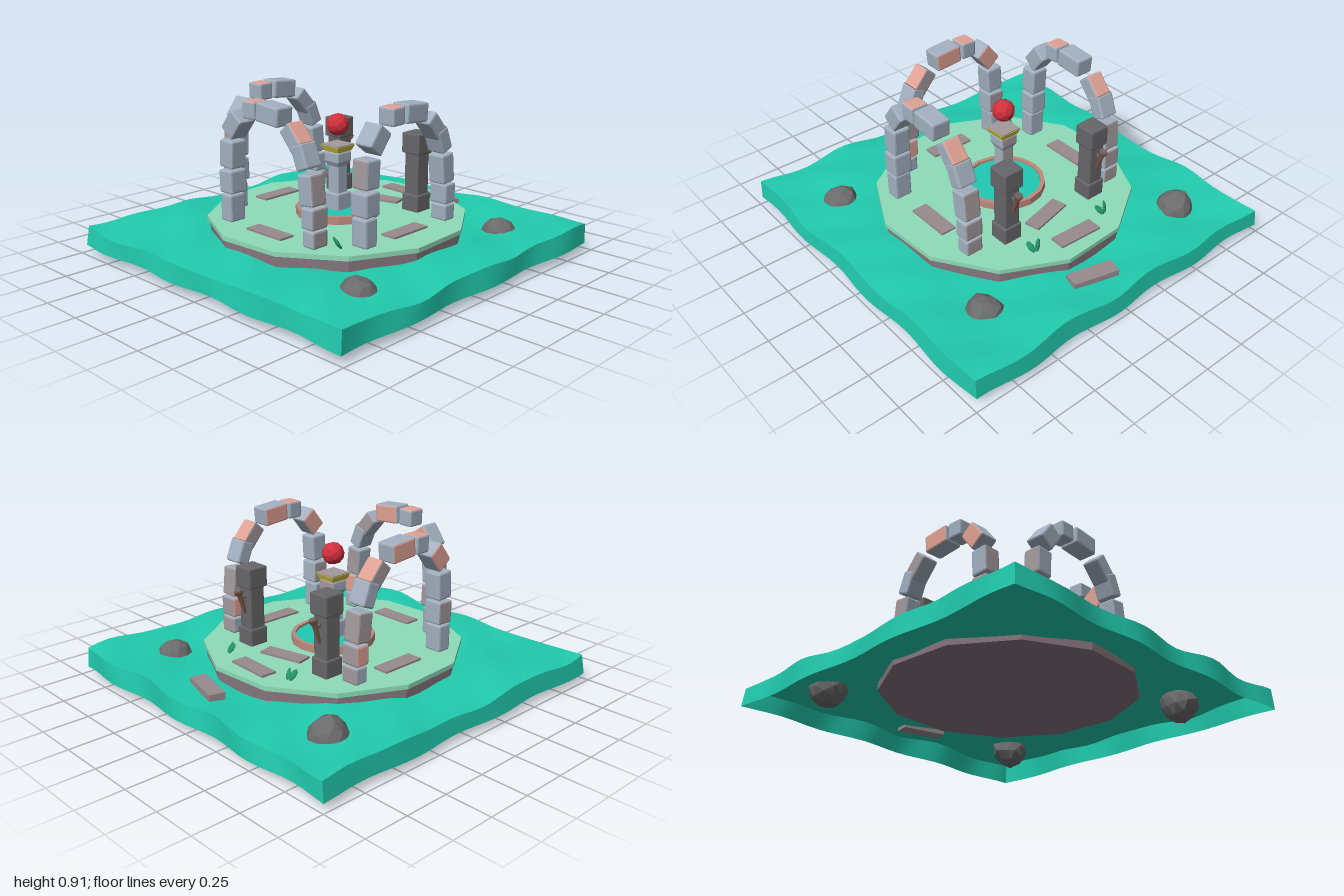
import * as THREE from 'three';
import { toCreasedNormals } from 'three/addons/utils/BufferGeometryUtils.js';
import { RoundedBoxGeometry } from 'three/addons/geometries/RoundedBoxGeometry.js';

const mat = (color, extra = {}) => new THREE.MeshStandardMaterial({ color, flatShading: true, ...extra });
const M = {
  ground: mat(0x21cbae, { flatShading: false, side: THREE.DoubleSide }),
  moss: mat(0x8fdcba), plinth: mat(0x85757c), tile: mat(0x988a8e),
  ring: mat(0xbd8b7c), water: mat(0x22c9b3), block: mat(0xa3b0c0),
  warm: mat(0xa39a9c), salmon: mat(0xe0a294), brown: mat(0x8a6355),
  dark: mat(0x67676a), rock: mat(0x6b6b6b), wood: mat(0x7d5847),
  gold: mat(0xd2c440), red: mat(0xd22f3c), leaf: mat(0x24936a),
};

function add(parent, name, geometry, material, x = 0, y = 0, z = 0) {
  const mesh = new THREE.Mesh(geometry, material);
  mesh.name = name;
  mesh.position.set(x, y, z);
  parent.add(mesh);
  return mesh;
}

// Chamfered stone block
const stone = (w, h, d, r = 0.008) => new RoundedBoxGeometry(w, h, d, 1, r);

// Rolling square of ground whose outer ring of vertices folds down into a skirt
function groundGeometry() {
  const n = 30;
  const g = new THREE.PlaneGeometry(2, 2, n, n).rotateX(-Math.PI / 2);
  const p = g.attributes.position;
  const inner = n / 2 - 1;
  for (let i = 0; i < p.count; i++) {
    const ix = (i % (n + 1)) - n / 2, iz = Math.floor(i / (n + 1)) - n / 2;
    const skirt = Math.max(Math.abs(ix), Math.abs(iz)) > inner;
    let x = THREE.MathUtils.clamp(ix / inner, -1, 1) * 0.975;
    let z = THREE.MathUtils.clamp(iz / inner, -1, 1) * 0.975;
    const y = 0.155 + 0.009 * Math.sin(7 * x + 2 * z) + 0.008 * Math.sin(9 * z - 3 * x + 1)
      + 0.004 * Math.sin(17 * x + 13 * z);
    const edgeX = Math.abs(ix) >= inner, edgeZ = Math.abs(iz) >= inner;
    if (edgeX) x += 0.014 * Math.sin(11 * z + (skirt ? 0.6 : 0)) + (skirt ? 0.008 * Math.sign(x) : 0);
    if (edgeZ) z += 0.012 * Math.sin(10 * x + (skirt ? 0.6 : 0)) + (skirt ? 0.008 * Math.sign(z) : 0);
    p.setXYZ(i, x, skirt ? 0.05 : y, z);
  }
  return toCreasedNormals(g, 0.7);
}

// Faceted lump: an icosphere pushed in and out by a smooth rule
function rockGeometry(r, seed) {
  const g = new THREE.IcosahedronGeometry(r, 1);
  const p = g.attributes.position, v = new THREE.Vector3();
  for (let i = 0; i < p.count; i++) {
    v.fromBufferAttribute(p, i);
    v.multiplyScalar(1 + 0.09 * Math.sin(31 * v.x + seed) * Math.cos(27 * v.z + 19 * v.y + seed));
    p.setXYZ(i, v.x, v.y, v.z);
  }
  g.computeVertexNormals();
  return g;
}

// Arch blocks: x, y, width, height, tilt, { face index: tint }
const ARCH = [
  [-0.31, 0.31, 0.085, 0.15, 0, {}],
  [-0.305, 0.455, 0.1, 0.125, 0.03, { 5: 'warm' }],
  [-0.3, 0.605, 0.1, 0.15, -0.05, { 1: 'warm' }],
  [-0.25, 0.77, 0.1, 0.13, -0.66, { 5: 'salmon' }],
  [-0.115, 0.865, 0.09, 0.095, 0.02, { 2: 'salmon' }],
  [0.025, 0.862, 0.16, 0.1, -0.08, { 5: 'salmon' }],
  [0.19, 0.768, 0.085, 0.14, 0.72, { 0: 'salmon', 5: 'warm' }],
  [0.252, 0.685, 0.08, 0.13, 0.38, { 2: 'brown' }],
  [0.29, 0.525, 0.095, 0.16, 0.1, { 0: 'warm', 5: 'warm' }],
  [0.307, 0.385, 0.085, 0.11, 0, { 0: 'warm', 5: 'salmon' }],
  [0.312, 0.28, 0.08, 0.09, 0, { 0: 'warm' }],
];

function arch(x, z, turn) {
  const g = new THREE.Group();
  g.name = 'stoneArch';
  ARCH.forEach(([bx, by, w, h, tilt, tints], i) => {
    const faces = Array.from({ length: 6 }, (_, f) => M[tints[f] || 'block']);
    const b = add(g, 'archBlock', stone(w, h, 0.1 + 0.008 * (i % 2), 0.01), faces, bx, by, 0);
    b.rotation.z = tilt;
  });
  // Threshold slab beneath the arch
  add(g, 'thresholdSlab', new THREE.BoxGeometry(0.26, 0.02, 0.09), M.tile, 0, 0.236, 0.02 * (turn ? 1 : 0));
  g.position.set(x, 0, z);
  g.rotation.y = turn;
  return g;
}

// Dark post with a slanted torch on its outer face
function torchPost(z) {
  const g = new THREE.Group();
  g.name = 'torchPost';
  add(g, 'postBase', stone(0.112, 0.1, 0.112), M.dark, 0, 0.28, 0);
  add(g, 'postShaft', stone(0.094, 0.27, 0.094), M.dark, 0, 0.445, 0);
  add(g, 'postCap', stone(0.12, 0.115, 0.12), M.dark, 0, 0.615, 0);
  const torch = new THREE.Group();
  torch.name = 'torch';
  add(torch, 'torchHandle', new THREE.CylinderGeometry(0.016, 0.008, 0.14, 6), M.wood);
  add(torch, 'torchCup', new THREE.CylinderGeometry(0.025, 0.018, 0.025, 6), M.wood, 0, 0.06, 0);
  add(torch, 'torchCoal', new THREE.CylinderGeometry(0.018, 0.018, 0.006, 6), M.dark, 0, 0.074, 0);
  add(torch, 'torchBracket', new THREE.BoxGeometry(0.045, 0.014, 0.014), M.dark, -0.02, 0.02, 0);
  torch.position.set(0.07, 0.48, 0);
  torch.rotation.z = -0.32;
  g.add(torch);
  g.position.set(0.345, 0, z);
  return g;
}

function plant(x, z, turn) {
  const g = new THREE.Group();
  g.name = 'plant';
  for (const s of [-1, 1]) {
    const geo = new THREE.OctahedronGeometry(1, 1).scale(0.008, 0.036, 0.017).translate(0, 0.032, 0);
    const l = add(g, 'leaf', geo, M.leaf, 0, 0, s * 0.006);
    l.rotation.set(s * 0.45, 0, 0.6 + 0.15 * s);
  }
  g.position.set(x, 0.236, z);
  g.rotation.y = turn;
  return g;
}

export function createModel() {
  const model = new THREE.Group();
  model.name = 'stoneShrine';

  add(model, 'ground', groundGeometry(), M.ground);

  // Twelve-sided platform
  const disc = (r, h) => new THREE.CylinderGeometry(r, r, h, 12, 1, false, 0.32);
  add(model, 'platformBase', disc(0.695, 0.085), M.plinth, 0, 0.17, 0);
  add(model, 'platformTop', disc(0.71, 0.025), M.moss, 0, 0.2225, 0);

  // Pool with a raised rim
  const rim = [[0.207, 0.23], [0.23, 0.23], [0.23, 0.277], [0.207, 0.277], [0.207, 0.23]]
    .map(([r, y]) => new THREE.Vector2(r, y));
  add(model, 'poolRim', new THREE.LatheGeometry(rim, 16), M.ring);
  add(model, 'poolWater', new THREE.CylinderGeometry(0.209, 0.209, 0.03, 16), M.water, 0, 0.248, 0);

  // Central pedestal carrying the orb
  const side = [M.warm, M.block, M.block, M.block, M.block, M.block];
  add(model, 'pedestalBase', stone(0.105, 0.11, 0.105), side, 0, 0.3, 0);
  add(model, 'pedestalShaft', stone(0.076, 0.18, 0.076), side, 0, 0.435, 0);
  add(model, 'pedestalNeck', new THREE.CylinderGeometry(0.072, 0.054, 0.025, 4, 1, false, Math.PI / 4), M.block, 0, 0.515, 0);
  add(model, 'pedestalCap', stone(0.105, 0.06, 0.105), side, 0, 0.553, 0);
  add(model, 'goldTrim', new THREE.CylinderGeometry(0.093, 0.074, 0.032, 4, 1, false, Math.PI / 4), M.gold, 0, 0.6, 0);
  add(model, 'pedestalTop', new THREE.BoxGeometry(0.124, 0.01, 0.124), M.warm, 0, 0.617, 0);
  add(model, 'orb', new THREE.IcosahedronGeometry(0.062, 1), M.red, 0, 0.727, 0);

  // Arches on three sides, posts on the fourth
  model.add(arch(0, 0.482, 0), arch(0, -0.486, 0), arch(-0.482, 0, -Math.PI / 2));
  model.add(torchPost(0.27), torchPost(-0.32));

  // Path slabs leading in
  for (const [x, y, z, h, turn] of [[0.35, 0.238, 0, 0.018, 0.23], [0.57, 0.238, -0.012, 0.018, -0.04], [0.797, 0.155, 0.082, 0.055, -0.25]]) {
    add(model, 'pathSlab', new THREE.BoxGeometry(0.088, h, 0.257), M.tile, x, y, z).rotation.y = turn;
  }

  // Boulders
  for (const [x, y, z, s] of [[0.67, 0.14, -0.68, 1], [-0.59, 0.11, 0.7, 2.3], [0.61, 0.108, 0.64, 4]]) {
    add(model, 'boulder', rockGeometry(0.102, s), M.rock, x, y, z).rotation.set(s, s * 2, 0);
  }

  // Plants at the corners
  model.add(plant(-0.41, -0.4, 0.3), plant(-0.41, 0.42, -0.3), plant(0.54, -0.25, 0.2), plant(0.54, 0.24, -0.2));
  return model;
}
